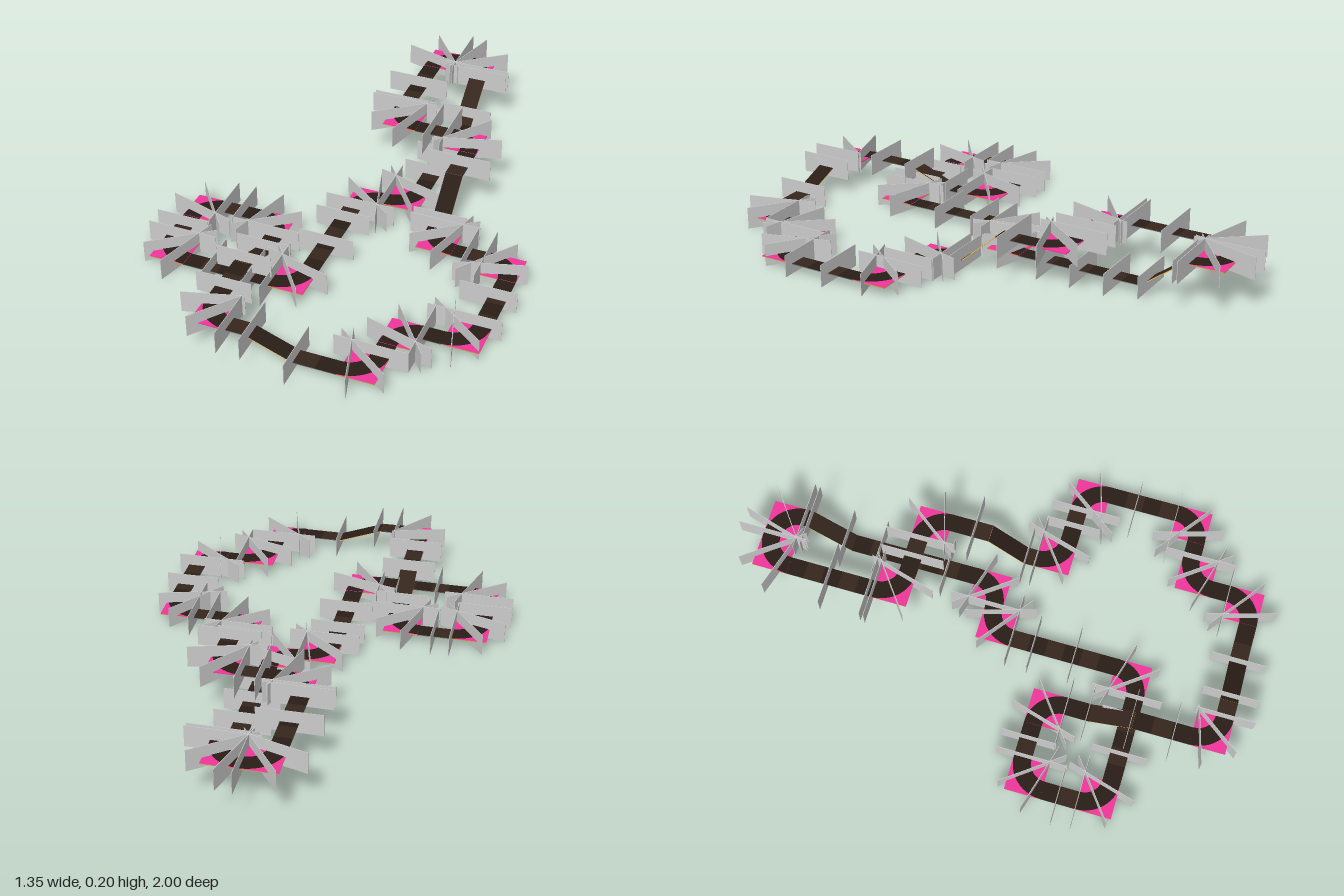
import * as THREE from 'three';

const U = 0.0655;          // road width
const R = 1.5 * U;         // turning radius of the centre line
const THICK = 0.003;
const GATE_H = 0.083, GATE_LIFT = 0.005;
const LOW = 0.037, MID = 0.1, HIGH = 0.157;

// Corners of the closed route: x, z, level
const ROUTE = [
  [0.147, -0.025, LOW], [0.147, -0.876, HIGH], [-0.05, -0.876, HIGH], [-0.05, -0.352, HIGH],
  [0.28, -0.352, HIGH], [0.28, 0.172, LOW], [0.606, 0.172, LOW], [0.606, 0.63, LOW],
  [0.344, 0.63, LOW], [0.344, 0.893, LOW], [-0.245, 0.893, MID], [-0.245, 0.237, LOW],
  [-0.57, 0.237, LOW], [-0.57, 0.565, LOW], [-0.05, 0.565, LOW], [-0.05, -0.025, LOW],
];
// Ramp start and end, measured from the corner that begins the straight
const RAMPS = { 0: [0.575, 0.737], 4: [0.247, 0.384], 9: [0.254, 0.424], 10: [0.31, 0.47] };
// First gate and spacing on straights that differ from the usual
const GATES = { 0: [0.111, 0.131], 4: [0.09, 0.2], 6: [0.106, 0.15], 10: [0.064, 0.157], 13: [0.105, 0.15] };
// Inner and outer reach of the corner gates from the turning centre, by level
const REACH = { [LOW]: [-0.065, 0.198], [MID]: [-0.01, 0.206], [HIGH]: [-0.04, 0.22] };

const mat = (color) => new THREE.MeshStandardMaterial({ color });

export function createModel() {
  const model = new THREE.Group();
  const road = [mat(0x2a1d17), mat(0x35261d)];
  const pink = mat(0xf0359a), olive = mat(0xd0a83c), rampUnder = mat(0xf0bc48), under = mat(0x707070);
  const gateMat = mat(0xcccccc);

  const add = (name, geo, material, pos) => {
    const mesh = new THREE.Mesh(geo, material);
    mesh.name = name;
    mesh.position.copy(pos);
    model.add(mesh);
    return mesh;
  };
  const along = (mesh, dir) => mesh.lookAt(mesh.position.clone().add(dir));
  // Thin slab with its own colours on top and underside
  const slab = (name, w, len, top, bottom, pos) =>
    add(name, new THREE.BoxGeometry(w, THICK, len), [bottom, bottom, top, bottom, bottom, bottom], pos);

  // Upright panel standing across the road
  const addGate = (pos, dir, width) => {
    const p = pos.clone();
    p.y += GATE_LIFT;
    if (p.x > 0.53) p.x -= 0.031;
    along(add('gate', new THREE.BoxGeometry(width, GATE_H, 0.002), gateMat, p), dir);
  };

  const addTile = (a, b, i, isRamp) => {
    const dir = b.clone().sub(a);
    const tile = slab(isRamp ? 'ramp' : 'roadTile', U, dir.length(), road[i % 2],
      isRamp ? rampUnder : under, a.clone().lerp(b, 0.5));
    along(tile, dir);
  };

  const points = ROUTE.map(([x, z, y]) => new THREE.Vector3(x, y, z));
  const n = points.length;
  const heading = (i) => {
    const d = points[(i + 1) % n].clone().sub(points[i % n]);
    return d.setY(0).normalize();
  };

  points.forEach((p, i) => {
    const dIn = heading(i + n - 1), dOut = heading(i);

    // Corner: square base with a quarter ring of road on it
    const centre = p.clone().addScaledVector(dIn, -R).addScaledVector(dOut, R);
    const q = dIn.clone().sub(dOut);
    slab('cornerBase', 2 * U, 2 * U, pink, i === 4 || i === 10 ? pink : olive,
      centre.clone().addScaledVector(q, U));
    const start = Math.atan2(-q.z, q.x) - Math.PI / 4;
    const ring = new THREE.RingGeometry(U, 2 * U, 12, 1, start, Math.PI / 2).rotateX(-Math.PI / 2);
    add('cornerRoad', ring, road[0], centre).position.y += THICK;

    // Gates fanning out around the turn
    const [inner, outer] = REACH[p.y];
    const mid = (inner + outer) / 2;
    for (const deg of [0, 37, 74]) {
      const a = THREE.MathUtils.degToRad(deg), c = Math.cos(a), s = Math.sin(a);
      const pos = centre.clone().addScaledVector(dOut, -c * mid).addScaledVector(dIn, s * mid);
      addGate(pos, dIn.clone().multiplyScalar(c).addScaledVector(dOut, s), outer - inner);
    }

    // Straight up to the next corner, sloping where it has a ramp
    const next = points[(i + 1) % n];
    const length = Math.hypot(next.x - p.x, next.z - p.z);
    const ramp = RAMPS[i];
    const at = (d) => {
      const t = ramp ? THREE.MathUtils.clamp((d - ramp[0]) / (ramp[1] - ramp[0]), 0, 1) : 0;
      return p.clone().addScaledVector(dOut, d).setY(THREE.MathUtils.lerp(p.y, next.y, t));
    };
    const stops = [R, ...(ramp || []), length - R];
    let tile = 0;
    for (let k = 0; k + 1 < stops.length; k++) {
      const span = stops[k + 1] - stops[k];
      if (span < 0.004) continue;
      const isRamp = Boolean(ramp) && k === 1;
      const count = isRamp ? 1 : Math.max(1, Math.round(span / U));
      for (let j = 0; j < count; j++) {
        addTile(at(stops[k] + span * j / count), at(stops[k] + span * (j + 1) / count), tile++, isRamp);
      }
    }

    // Gates along the straight; a short one gets a single gate near its middle
    const short = length - 2 * R < 0.14;
    const [first, step] = GATES[i] || [short ? 0.06 : 0.155, 0.155];
    for (let d = R + first; d < length - R - 0.01; d += step) {
      const pos = at(d);
      addGate(pos, dOut, pos.y > 0.13 ? 0.236 : 0.206);
    }
  });

  return model;
}
